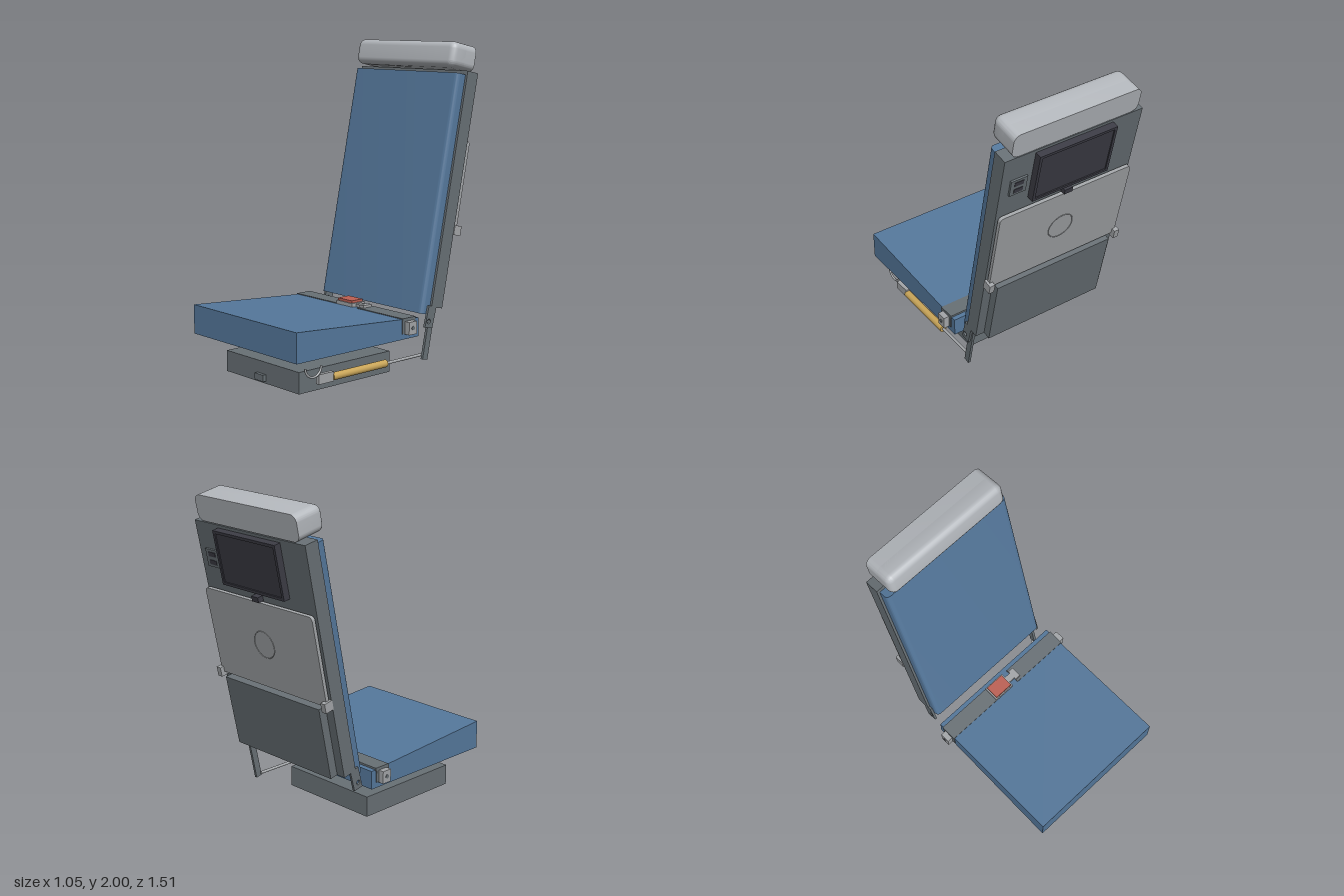
import * as THREE from 'three';
import { toCreasedNormals } from 'three/addons/utils/BufferGeometryUtils.js';

const mat = (name, color) => {
  const m = new THREE.MeshStandardMaterial({ color });
  m.name = name;
  return m;
};

export function createModel() {
  const blue = mat('blue fabric', 0x55789c);
  const gray = mat('shell gray', 0x687075);
  const pale = mat('headrest gray', 0xb4b8bd);
  const metal = mat('light metal', 0xa3a6a9);
  const dark = mat('screen dark', 0x3c3c45);
  const red = mat('buckle red', 0xbc5f52);
  const brass = mat('brass', 0xc9a558);
  const tan = mat('tan trim', 0xc6bfa0);

  const model = new THREE.Group();
  model.name = 'seat';

  const add = (parent, name, geo, material) => {
    const m = new THREE.Mesh(geo, material);
    m.name = name;
    parent.add(m);
    return m;
  };
  // box given by its limits on each axis
  const box = (parent, name, material, [x0, x1], [y0, y1], [z0, z1]) => {
    const m = add(parent, name, new THREE.BoxGeometry(x1 - x0, y1 - y0, z1 - z0), material);
    m.position.set((x0 + x1) / 2, (y0 + y1) / 2, (z0 + z1) / 2);
    return m;
  };
  // rounded rectangle outline, centred
  const roundRect = (w, h, r) => {
    const s = new THREE.Shape(), x = w / 2 - r, y = h / 2 - r;
    s.absarc(x, y, r, 0, Math.PI / 2);
    s.absarc(-x, y, r, Math.PI / 2, Math.PI);
    s.absarc(-x, -y, r, Math.PI, Math.PI * 1.5);
    s.absarc(x, -y, r, Math.PI * 1.5, Math.PI * 2);
    s.closePath();
    return s;
  };
  const extrude = (shape, depth, opts = {}) => toCreasedNormals(
    new THREE.ExtrudeGeometry(shape, { depth, bevelEnabled: false, curveSegments: 8, ...opts }), 0.6);
  // side outline of [z, y] points, extruded across x from x0 to x1
  const sideProfile = (points, x0, x1, holes = []) => {
    const s = new THREE.Shape(points.map(([z, y]) => new THREE.Vector2(-z, y)));
    s.holes.push(...holes);
    return extrude(s, x1 - x0).rotateY(Math.PI / 2).translate(x0, 0, 0);
  };

  // ---- base box with front latch
  box(model, 'base', gray, [-0.365, 0.315], [0, 0.13], [-0.125, 0.6]);
  box(model, 'baseLatch', gray, [-0.065, 0.015], [0.015, 0.055], [0.6, 0.622]);

  // ---- seat cushion, thicker at the front
  add(model, 'seatCushion', sideProfile(
    [[0.757, 0.24], [-0.205, 0.24], [-0.205, 0.355], [0.757, 0.42]], -0.48, 0.48), blue);
  box(model, 'seatPan', gray, [-0.46, 0.46], [0.234, 0.242], [-0.19, 0.64]);

  // ---- lap belt across the seat with buckle and anchors
  box(model, 'beltLeft', gray, [0.085, 0.486], [0.35, 0.369], [-0.175, -0.068]);
  box(model, 'beltRight', gray, [-0.486, -0.06], [0.35, 0.369], [-0.175, -0.068]);
  for (const s of [-1, 1]) {
    const at = (a, b) => (s > 0 ? [a, b] : [-b, -a]);
    box(model, 'beltSide', gray, at(0.478, 0.486), [0.275, 0.36], [-0.168, -0.065]);
    box(model, 'beltAnchor', metal, at(0.484, 0.522), [0.272, 0.35], [-0.15, -0.085]);
    const pin = add(model, 'anchorPin', new THREE.CylinderGeometry(0.012, 0.012, 0.006, 16), gray);
    pin.rotation.z = Math.PI / 2;
    pin.position.set(s * 0.523, 0.311, -0.117);
  }
  box(model, 'buckleFrame', metal, [-0.106, 0.04], [0.36, 0.387], [-0.174, -0.068]);
  box(model, 'buckleButton', red, [-0.098, 0.03], [0.38, 0.402], [-0.165, -0.075]);
  box(model, 'buckleTongue', metal, [0.03, 0.1], [0.363, 0.38], [-0.144, -0.1]);
  box(model, 'tongueHandle', metal, [0.085, 0.122], [0.36, 0.385], [-0.156, -0.086]);

  // ---- reclining back: local y runs up the back, local z out of its front
  const back = new THREE.Group();
  back.name = 'backrest';
  back.position.set(0, 0.365, -0.255);
  back.rotation.x = -0.205;
  model.add(back);

  // cushion with rounded upright edges
  const c = new THREE.Shape(), r = 0.03;
  c.moveTo(-0.455, 0.068);
  c.lineTo(-0.455, r);
  c.quadraticCurveTo(-0.455, 0, -0.455 + r, 0);
  c.lineTo(0.455 - r, 0);
  c.quadraticCurveTo(0.455, 0, 0.455, r);
  c.lineTo(0.455, 0.068);
  c.closePath();
  add(back, 'backCushion', extrude(c, 1.476).rotateX(-Math.PI / 2), blue);

  // shell and lower pocket
  box(back, 'backShell', gray, [-0.47, 0.47], [0.045, 1.5], [-0.16, -0.066]);
  box(back, 'lowerPocket', gray, [-0.41, 0.41], [0.045, 0.505], [-0.212, -0.155]);
  box(back, 'bottomTrim', tan, [-0.42, 0.42], [0.039, 0.046], [-0.135, -0.1]);

  // headrest: straight back half, rounded front half
  const outline = roundRect(0.86, 0.16, 0.045), b = 0.04;
  add(back, 'headrestRear', extrude(outline, 0.13).translate(0, 1.585, -0.159), pale);
  add(back, 'headrestFront', extrude(outline, 0.07, {
    bevelEnabled: true, bevelThickness: b, bevelSize: b, bevelOffset: -b, bevelSegments: 5,
  }).translate(0, 1.585, -0.069), pale);

  // screen, socket panel and tray latch on the rear face
  box(back, 'screenFrame', dark, [-0.265, 0.265], [1.145, 1.482], [-0.196, -0.158]);
  const rim = 0.018;
  box(back, 'screenRimTop', dark, [-0.265, 0.265], [1.482 - rim, 1.482], [-0.203, -0.195]);
  box(back, 'screenRimBottom', dark, [-0.265, 0.265], [1.145, 1.145 + rim], [-0.203, -0.195]);
  for (const s of [-1, 1]) {
    const x = s * (0.265 - rim / 2);
    box(back, 'screenRimSide', dark, [x - rim / 2, x + rim / 2], [1.145, 1.482], [-0.203, -0.195]);
  }
  box(back, 'socketPanel', gray, [0.3, 0.41], [1.225, 1.335], [-0.172, -0.158]);
  for (const y of [1.255, 1.305])
    box(back, 'socket', dark, [0.325, 0.385], [y - 0.014, y + 0.014], [-0.175, -0.171]);
  box(back, 'trayLatch', dark, [-0.028, 0.028], [1.085, 1.118], [-0.198, -0.158]);

  // folded tray with cup ring, held by two hinges
  add(back, 'tray', extrude(roundRect(0.92, 0.56, 0.025), 0.022).translate(0, 0.805, -0.192), metal);
  const ring = add(back, 'cupRing', new THREE.TorusGeometry(0.085, 0.003, 6, 32), metal);
  ring.position.set(0, 0.81, -0.192);
  for (const s of [-1, 1])
    box(back, 'trayHinge', metal, s > 0 ? [0.44, 0.475] : [-0.475, -0.44], [0.5, 0.56], [-0.218, -0.158]);

  // pivot brackets with bolt holes, and the lever on the left
  for (const x0 of [0.455, -0.47]) {
    const hole = new THREE.Path();
    hole.absarc(0.06, -0.041, 0.015, 0, Math.PI * 2, true);
    add(back, 'pivotBracket', sideProfile(
      [[-0.034, -0.08], [-0.1, -0.08], [-0.108, 0.055], [-0.042, 0.055]], x0, x0 + 0.015, [hole]), gray);
  }
  box(back, 'reclineLever', gray, [0.438, 0.455], [-0.278, 0.05], [-0.115, -0.073]);

  // ---- recline spring beside the base
  const strut = (name, radius, z0, z1, material) => {
    const m = add(model, name, new THREE.CylinderGeometry(radius, radius, z1 - z0, 24), material);
    m.rotation.x = Math.PI / 2;
    m.position.set(0.425, 0.1, (z0 + z1) / 2);
  };
  strut('springCylinder', 0.023, 0.015, 0.445, brass);
  strut('springRod', 0.009, -0.285, 0.02, metal);
  box(model, 'springMount', metal, [0.412, 0.438], [0.075, 0.133], [0.44, 0.556]);
  const hook = add(model, 'springHook', new THREE.TorusGeometry(0.06, 0.007, 8, 24, Math.PI), metal);
  hook.rotation.set(Math.PI, Math.PI / 2, 0);
  hook.position.set(0.432, 0.185, 0.592);

  return model;
}
